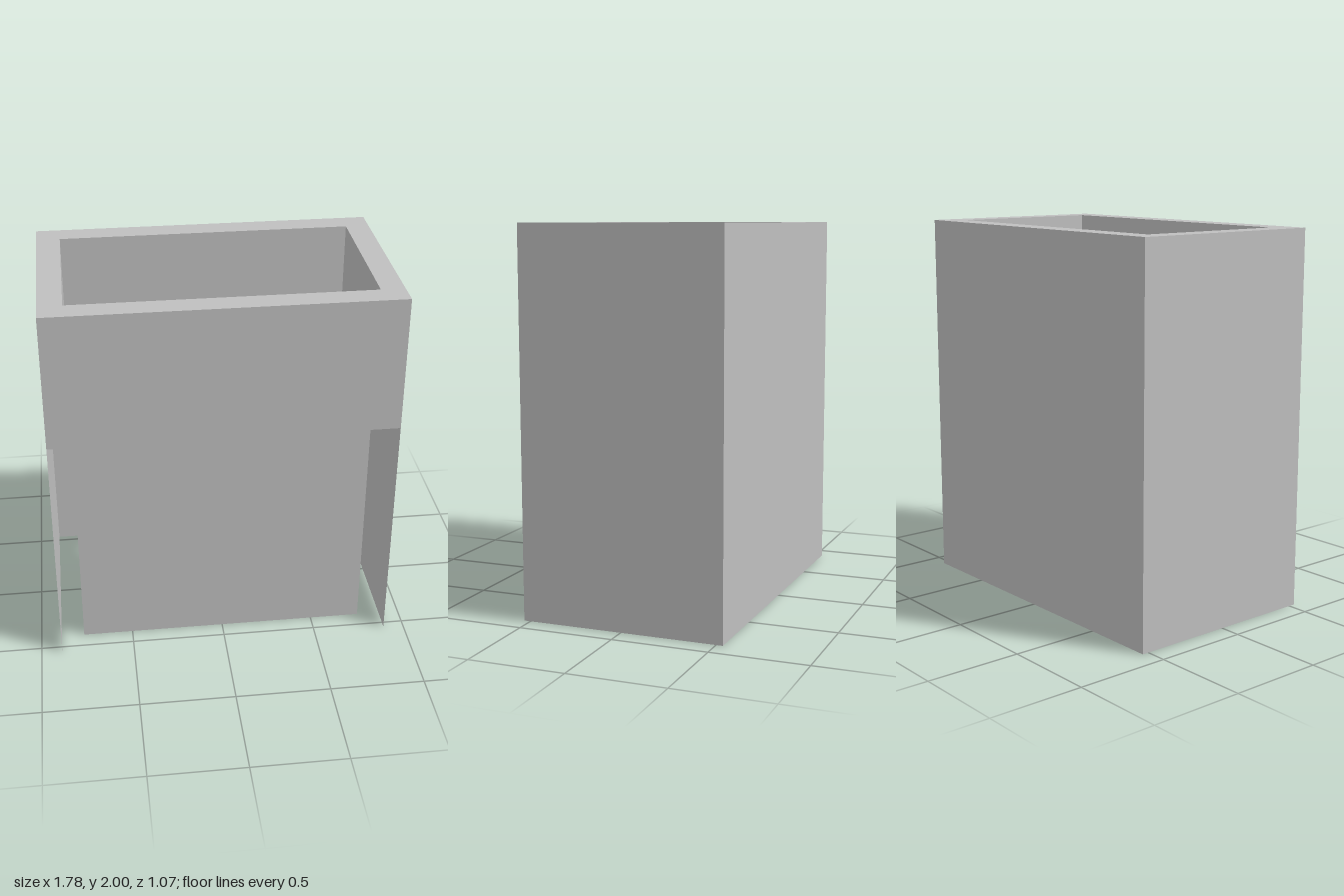
import * as THREE from 'three';

const W = 0.89, D = 0.535, H = 2;     // outer half width, half depth, height
const IW = 0.767, ID = 0.411;         // liner half width, half depth
const BAND = 1.285;                   // lower edge of the front band

export function createModel() {
  const group = new THREE.Group();
  const grey = new THREE.MeshStandardMaterial({ color: 0xbfbfbf, side: THREE.DoubleSide });
  grey.name = 'lightGrey';

  const add = (name, geometry) => {
    const mesh = new THREE.Mesh(geometry, grey);
    mesh.name = name;
    group.add(mesh);
    return mesh;
  };

  // Upright sheet from y0 to the top, turned by angle to face outward
  const wall = (name, width, y0, x, z, angle) => {
    const mesh = add(name, new THREE.PlaneGeometry(width, H - y0));
    mesh.position.set(x, (H + y0) / 2, z);
    mesh.rotation.y = angle;
  };

  // Outer shell, open at the lower front and underneath
  wall('frontBand', 2 * W, BAND, 0, D, 0);
  wall('backPanel', 2 * W, 0, 0, -D, Math.PI);

  // Inner liner, a rectangular shaft open at both ends
  wall('linerFront', 2 * IW, 0, 0, ID, 0);
  wall('linerBack', 2 * IW, 0, 0, -ID, Math.PI);

  // Sides of the shell and liner
  for (const [side, s] of [['left', 1], ['right', -1]]) {
    wall(side + 'Panel', 2 * D, 0, s * W, 0, s * Math.PI / 2);
    wall(side + 'Liner', 2 * ID, 0, s * IW, 0, s * Math.PI / 2);
  }

  // Flat rim joining the shell to the liner
  const rect = (Type, w, d) => new Type([[-w, -d], [w, -d], [w, d], [-w, d]]
    .map(([x, y]) => new THREE.Vector2(x, y)));
  const rim = rect(THREE.Shape, W, D);
  rim.holes.push(rect(THREE.Path, IW, ID));
  const top = add('topRim', new THREE.ShapeGeometry(rim));
  top.rotation.x = -Math.PI / 2;
  top.position.y = H;

  return group;
}
